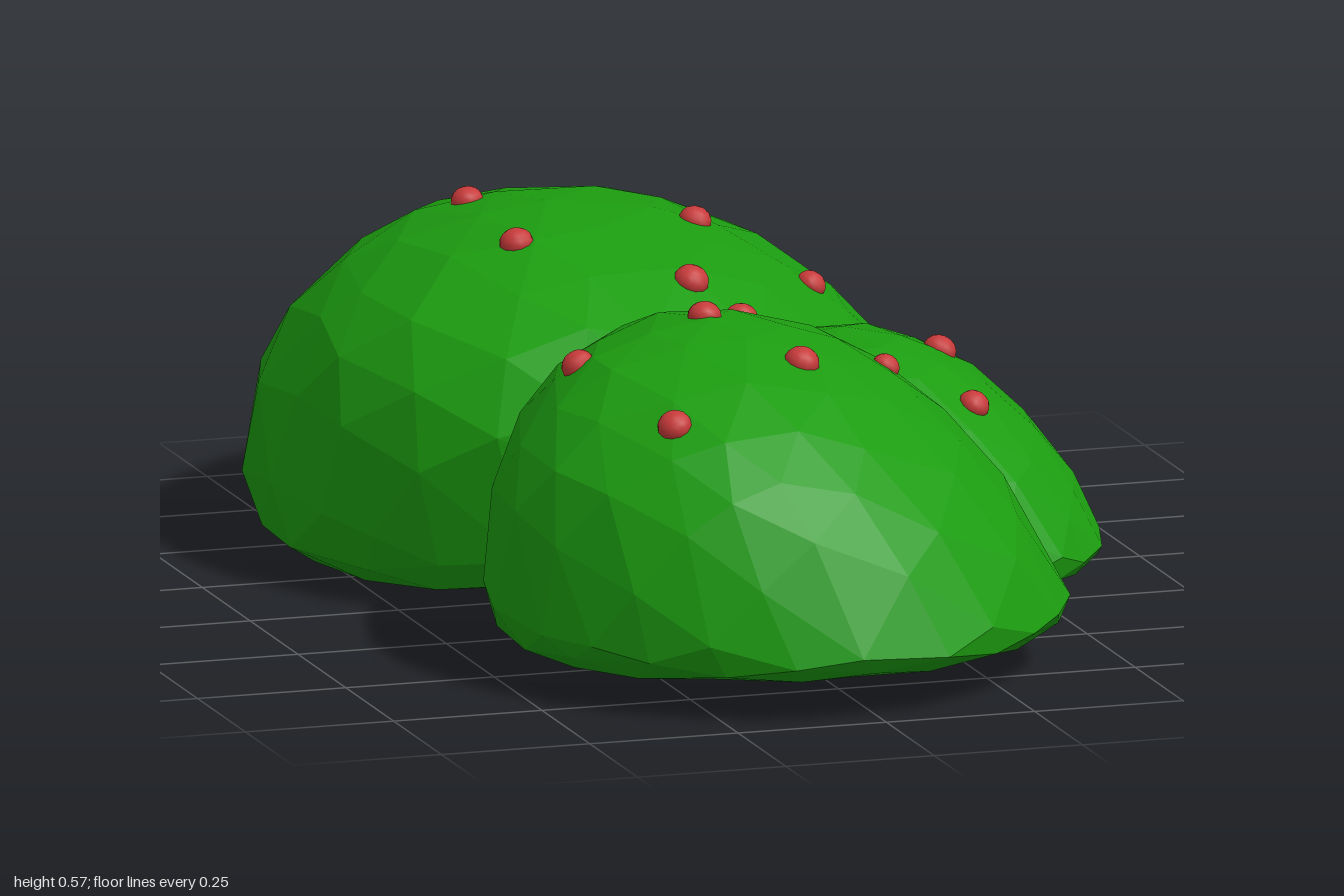
import * as THREE from 'three';
import { mergeVertices } from 'three/addons/utils/BufferGeometryUtils.js';

const leafMaterial = new THREE.MeshStandardMaterial({ color: 0x1c9c10, flatShading: true });
const berryMaterial = new THREE.MeshStandardMaterial({ color: 0xc83a3a });

// Small seeded generator, values from -1 to 1
function seeded(seed) {
  let s = seed;
  return () => {
    s = (s * 16807) % 2147483647;
    return (s / 2147483647) * 2 - 1;
  };
}

// Faceted dome: the upper half leans, narrows and twists, the lower half is squashed onto a floor
function makeMound({ name, center, radius, rim, top, lean, pinch, skew, floor, blunt, seed }) {
  let geo = new THREE.IcosahedronGeometry(1, 3);
  geo.deleteAttribute('uv');
  geo.deleteAttribute('normal');
  geo = mergeVertices(geo, 1e-4);
  const rand = seeded(seed);
  const pos = geo.attributes.position;
  const v = new THREE.Vector3();
  for (let i = 0; i < pos.count; i++) {
    v.fromBufferAttribute(pos, i);
    v.x += rand() * 0.05;
    v.y += rand() * 0.03;
    v.z += rand() * 0.05;
    v.normalize().multiplyScalar(1.006 + rand() * 0.01);
    const up = Math.pow(Math.max(v.y, 0), blunt);
    const x = center[0] + v.x * radius[0] * (1 - pinch * up) + (lean[0] - skew * v.z) * up;
    const z = center[1] + v.z * radius[1] + lean[1] * up;
    const ground = Math.max(0, floor(x, z));
    const down = Math.min(1, Math.max(0, -v.y * 2.4));
    const y = v.y > 0 ? rim + (top - rim) * up : rim + (ground - rim) * down;
    pos.setXYZ(i, x, y, z);
  }
  geo.computeVertexNormals();
  const mesh = new THREE.Mesh(geo, leafMaterial);
  mesh.name = name;
  return mesh;
}

const mounds = [
  { name: 'backMound', center: [-0.035, -0.37], radius: [0.57, 0.63], rim: 0.11, top: 0.565,
    lean: [-0.088, 0], pinch: 0.15, skew: 0.1, blunt: 0.72, seed: 11,
    floor: (x, z) => 0.002 + 0.03 * (x + 0.45) + 0.04 * (x + 0.45) ** 2 + 0.1 * (z + 0.5) ** 2 },
  { name: 'frontMound', center: [-0.03, 0.52], radius: [0.465, 0.48], rim: 0.11, top: 0.545,
    lean: [-0.085, -0.1], pinch: 0.17, skew: 0.08, blunt: 0.74, seed: 23,
    floor: (x, z) => 0.046 + 0.01 * x + 0.06 * (z - 0.4) ** 2 },
  { name: 'sideMound', center: [0.31, 0.19], radius: [0.3, 0.32], rim: 0.11, top: 0.435,
    lean: [-0.1, -0.095], pinch: 0, skew: 0.05, blunt: 0.9, seed: 37,
    floor: (x, z) => 0.037 + 0.06 * x + 0.1 * (z - 0.19) ** 2 },
];

// Berries as [x, z, radius], dropped onto the mounds
const berries = [
  [-0.14, -0.77, 0.027], [0.19, -0.71, 0.02], [-0.22, -0.51, 0.027], [0.11, -0.34, 0.027],
  [0.27, -0.23, 0.025], [-0.24, -0.19, 0.028], [0.01, -0.05, 0.029], [0.01, 0.21, 0.027],
  [-0.11, 0.39, 0.028], [-0.33, 0.41, 0.028], [0.18, 0.44, 0.023], [-0.01, 0.59, 0.029],
  [-0.27, 0.73, 0.028], [0.38, 0.1, 0.028], [0.38, 0.28, 0.026],
];

export function createModel() {
  const model = new THREE.Group();
  model.name = 'berryBush';

  const foliage = new THREE.Group();
  foliage.name = 'foliage';
  mounds.forEach((m) => foliage.add(makeMound(m)));
  model.add(foliage);

  // Half-sunk berries
  const fruit = new THREE.Group();
  fruit.name = 'berries';
  const berryGeo = new THREE.SphereGeometry(1, 12, 8);
  const ray = new THREE.Raycaster();
  const down = new THREE.Vector3(0, -1, 0);
  for (const [x, z, r] of berries) {
    ray.set(new THREE.Vector3(x, 2, z), down);
    const hit = ray.intersectObjects(foliage.children)[0];
    const berry = new THREE.Mesh(berryGeo, berryMaterial);
    berry.name = 'berry';
    berry.position.copy(hit.point);
    berry.scale.set(r, r * 0.85, r);
    berry.quaternion.setFromUnitVectors(new THREE.Vector3(0, 1, 0), hit.face.normal);
    fruit.add(berry);
  }
  model.add(fruit);
  return model;
}
